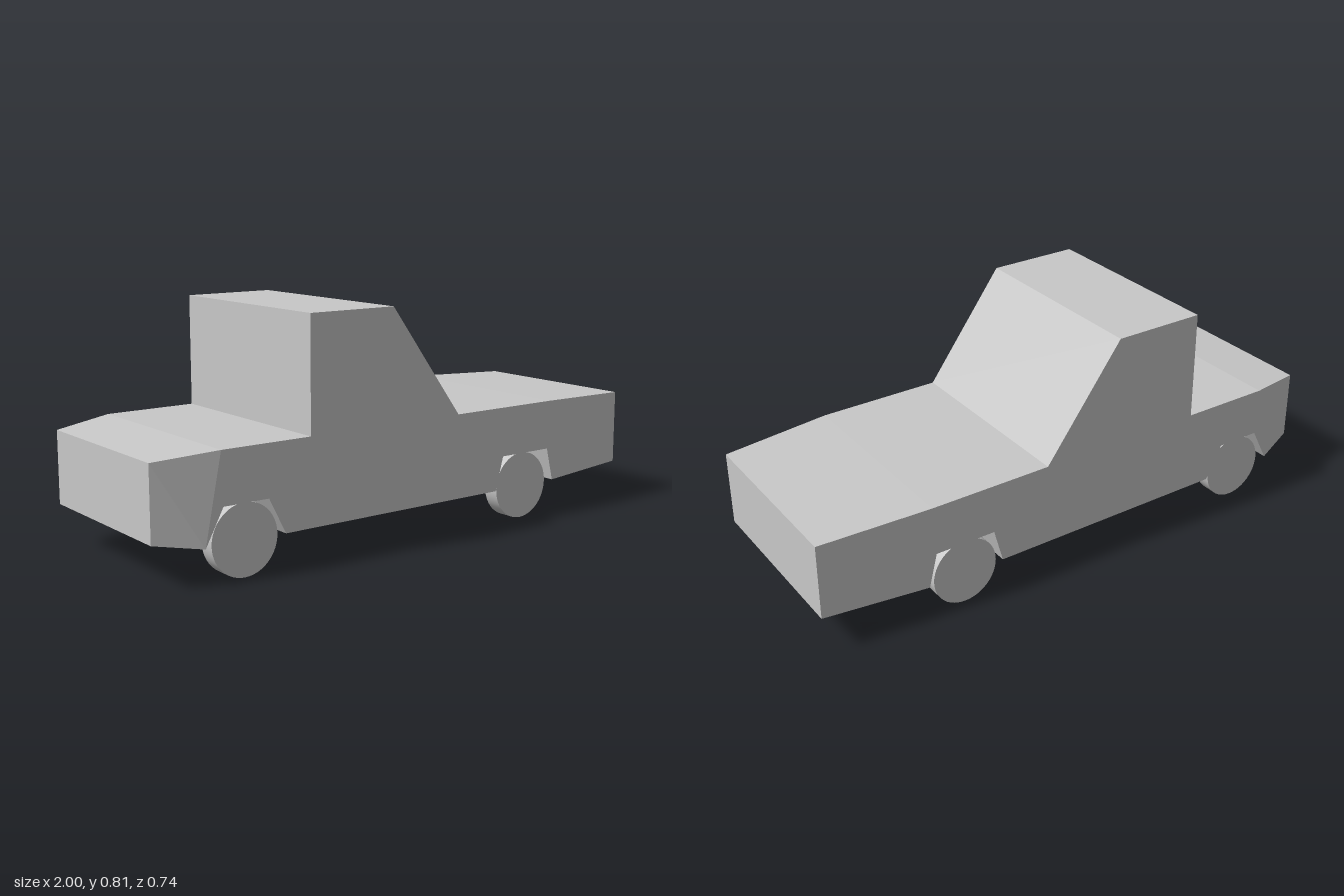
import * as THREE from 'three';
import { ConvexGeometry } from 'three/addons/geometries/ConvexGeometry.js';

const HALF = 0.368; // half width of the body

// Tapered end block: full width at the inner edge, narrower at the outer edge
function endBlock(innerTop, innerBottom, outerTop, outerBottom, outerHalf) {
  const points = [];
  for (const s of [-1, 1]) {
    for (const [x, y] of [innerTop, innerBottom]) points.push(new THREE.Vector3(x, y, s * HALF));
    for (const [x, y] of [outerTop, outerBottom]) points.push(new THREE.Vector3(x, y, s * outerHalf));
  }
  return new ConvexGeometry(points);
}

export function createModel() {
  const model = new THREE.Group();
  model.name = 'pickupTruck';
  const grey = new THREE.MeshStandardMaterial({ color: 0xc8c8c8 });
  grey.name = 'light grey';

  const add = (name, geometry, parent = model) => {
    const mesh = new THREE.Mesh(geometry, grey);
    mesh.name = name;
    parent.add(mesh);
    return mesh;
  };

  // Cab, bed and wheel arches: one side profile across the full width
  const profile = new THREE.Shape([
    [-0.845, 0.12], [-0.78, 0.242], [-0.615, 0.242], [-0.553, 0.12],
    [0.347, 0.12], [0.38, 0.242], [0.6, 0.242], [0.63, 0.122],
    [0.61, 0.418], [0.165, 0.418], [-0.123, 0.807], [-0.455, 0.807],
    [-0.455, 0.418], [-0.785, 0.418],
  ].map(([x, y]) => new THREE.Vector2(x, y)));
  const body = new THREE.ExtrudeGeometry(profile, { depth: HALF * 2, bevelEnabled: false });
  body.translate(0, 0, -HALF);
  add('body', body);

  // Tapered hood and tail
  add('hoodEnd', endBlock([0.61, 0.418], [0.63, 0.122], [1, 0.405], [1, 0.136], 0.333));
  add('tailEnd', endBlock([-0.785, 0.418], [-0.845, 0.12], [-1, 0.397], [-1, 0.145], 0.313));

  // Four wheels
  const wheel = new THREE.CylinderGeometry(0.12, 0.12, 0.058, 48).rotateX(Math.PI / 2);
  for (const [end, x] of [['rear', -0.695], ['front', 0.485]]) {
    for (const [side, s] of [['Right', 1], ['Left', -1]]) {
      add(`${end}${side}Wheel`, wheel).position.set(x, 0.12, s * 0.323);
    }
  }
  return model;
}
